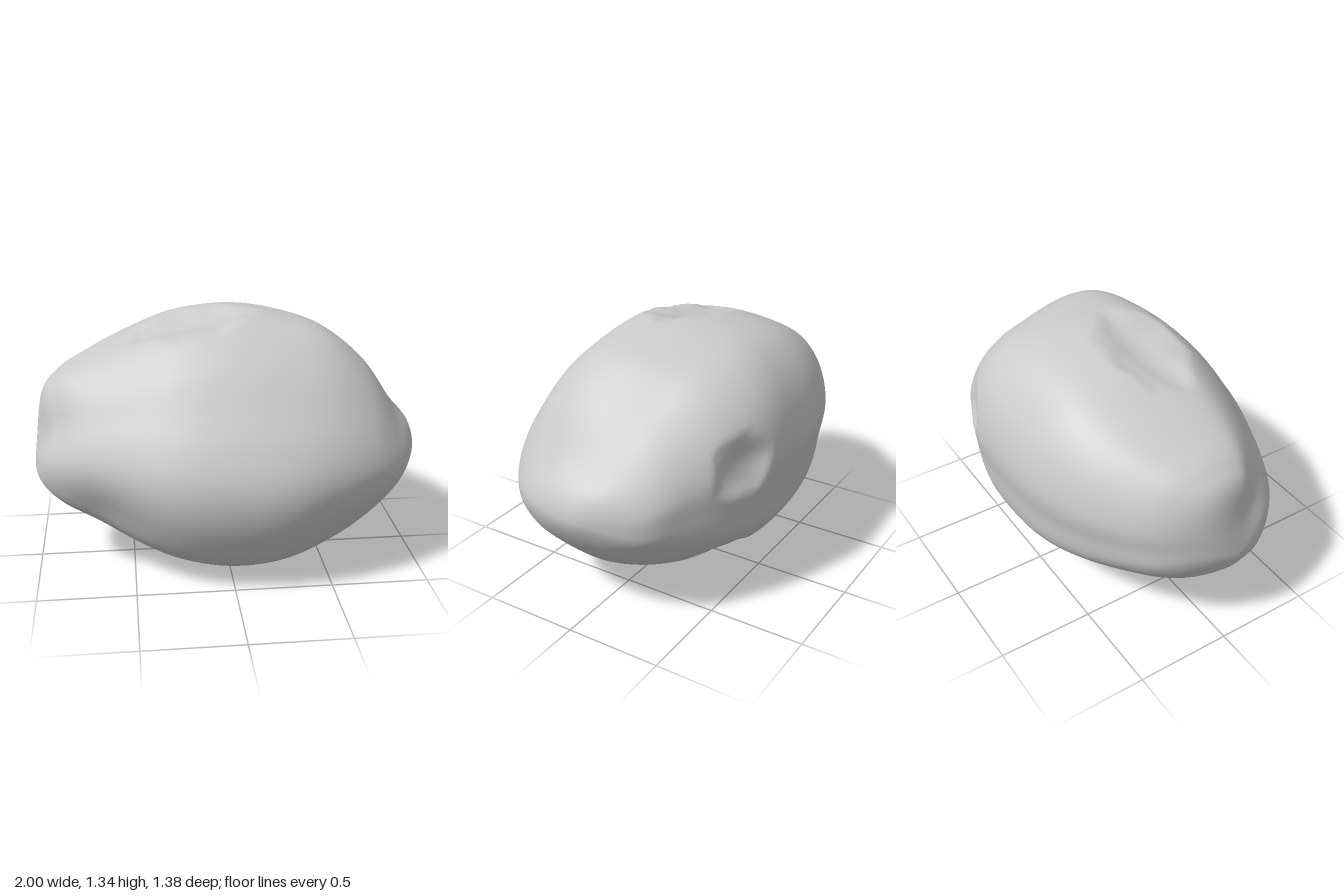
import * as THREE from 'three';
import { mergeVertices } from 'three/addons/utils/BufferGeometryUtils.js';

// Half outlines at x = -cos(k * PI / 12), k = 0..12
const TOP = [0.57, 0.9, 1.03, 1.115, 1.205, 1.30, 1.335, 1.315, 1.26, 1.1, 0.86, 0.735, 0.62];
const BOTTOM = [0.57, 0.47, 0.37, 0.275, 0.155, 0.05, 0, 0.025, 0.115, 0.24, 0.385, 0.52, 0.62];
const FRONT = [0.05, 0.24, 0.35, 0.45, 0.555, 0.645, 0.68, 0.675, 0.61, 0.51, 0.375, 0.19, 0];
const BACK = [0.05, -0.16, -0.35, -0.49, -0.6, -0.67, -0.69, -0.68, -0.61, -0.49, -0.36, -0.16, 0];

// Lumpy cross-section as (z, y): back, over the top, front, underside
const SECTION = [
  [-0.67, 0.62], [-0.69, 0.82], [-0.61, 1.07], [-0.46, 1.24], [-0.25, 1.315], [0, 1.335],
  [0.2, 1.3], [0.38, 1.16], [0.52, 0.975], [0.62, 0.82], [0.68, 0.67], [0.685, 0.54], [0.63, 0.36],
  [0.47, 0.13], [0.25, 0.035], [0, 0], [-0.2, 0.06], [-0.4, 0.18], [-0.56, 0.31], [-0.64, 0.43],
];

// Broad soft hollows (positive depth) and swellings (negative depth)
const HOLLOWS = [
  { at: [-0.95, 0.8, 0.2], r: 0.19, depth: 0.055 },
  { at: [-0.62, 0.42, 0.42], r: 0.2, depth: 0.03 },
  { at: [0.6, 1.13, -0.28], r: 0.3, depth: 0.055 },
  { at: [-0.78, 0.36, -0.2], r: 0.24, depth: -0.035 },
  { at: [-0.45, 1.05, -0.5], r: 0.28, depth: -0.02 },
  { at: [0.25, 1.05, -0.6], r: 0.25, depth: -0.02 },
];

// Impact craters with ragged rims: centre, radii along x, y, z, depth
const CRATERS = [
  { at: [-0.18, 1.31, 0.04], r: [0.32, 0.3, 0.2], depth: 0.06 },
  { at: [0.42, 0.81, -0.6], r: [0.17, 0.16, 0.2], depth: 0.06 },
  { at: [0.34, 0.21, -0.46], r: [0.2, 0.18, 0.18], depth: 0.08 },
];

// Smooth interpolation through evenly spaced values
function sample(values, t) {
  const n = values.length - 1;
  const i = Math.min(Math.floor(t * n), n - 1);
  const f = t * n - i;
  const b = values[i], c = values[i + 1];
  const a = i > 0 ? values[i - 1] : 2 * b - c;
  const d = i < n - 1 ? values[i + 2] : 2 * c - b;
  return b + 0.5 * f * (c - a + f * (2 * a - 5 * b + 4 * c - d + f * (3 * (b - c) + d - a)));
}

// Blend the two half extents softly across the middle
function extent(s, negative, positive) {
  return THREE.MathUtils.lerp(negative, positive, THREE.MathUtils.smoothstep(s, -0.8, 0.8));
}

function rockGeometry() {
  const around = 160, along = 120;
  const section = new THREE.CatmullRomCurve3(
    SECTION.map(([z, y]) => new THREE.Vector3(0, (y - 0.665) / 0.668, z / 0.69)), true);
  const ring = section.getSpacedPoints(around);

  const geometry = new THREE.SphereGeometry(1, around, along);
  const pos = geometry.attributes.position, uv = geometry.attributes.uv;
  const p = new THREE.Vector3(), s = new THREE.Vector3();
  const centre = new THREE.Vector3(), inward = new THREE.Vector3();

  for (let i = 0; i < pos.count; i++) {
    // Cross-section, growing rounder towards the +x end
    const t = THREE.MathUtils.clamp(uv.getY(i), 0, 1);
    const x = -Math.cos(Math.PI * t);
    s.copy(ring[(Math.round(uv.getX(i) * around) + around) % around]);
    s.multiplyScalar(THREE.MathUtils.lerp(1, 1 / s.length(), 0.6 * Math.max(x, 0) ** 2));

    // Fit it to the outlines at this station
    const top = sample(TOP, t), bottom = sample(BOTTOM, t);
    const cy = THREE.MathUtils.lerp(bottom, top, 0.48), cz = 0.05 * (1 - t) ** 3;
    p.set(x,
      cy + s.y * extent(s.y, cy - bottom, top - cy),
      cz + s.z * extent(s.z, cz - sample(BACK, t), sample(FRONT, t) - cz));

    // Push hollows and craters towards the middle
    inward.set(p.x * 0.5, 0.65, 0).sub(p).normalize();
    let push = 0;
    for (const h of HOLLOWS) {
      const d = p.distanceTo(centre.fromArray(h.at)) / h.r;
      push += h.depth * Math.exp(-d * d);
    }
    const ragged = 1 + 0.05 * (Math.sin(31 * p.x) + Math.sin(27 * p.y + 37 * p.z));
    for (const c of CRATERS) {
      const d = ragged * Math.hypot(...c.at.map((v, k) => (p.getComponent(k) - v) / c.r[k]));
      if (d < 1) push += c.depth * (1 - d * d);
    }
    p.addScaledVector(inward, push);
    pos.setXYZ(i, p.x, p.y, p.z);
  }

  // Weld the seam and poles for smooth shading
  geometry.deleteAttribute('uv');
  geometry.deleteAttribute('normal');
  const welded = mergeVertices(geometry, 1e-5);
  welded.computeVertexNormals();
  return welded;
}

export function createModel() {
  const group = new THREE.Group();
  group.name = 'asteroid';
  const rock = new THREE.Mesh(rockGeometry(), new THREE.MeshStandardMaterial({ color: 0xcccccc }));
  rock.name = 'crateredRock';
  group.add(rock);
  return group;
}
